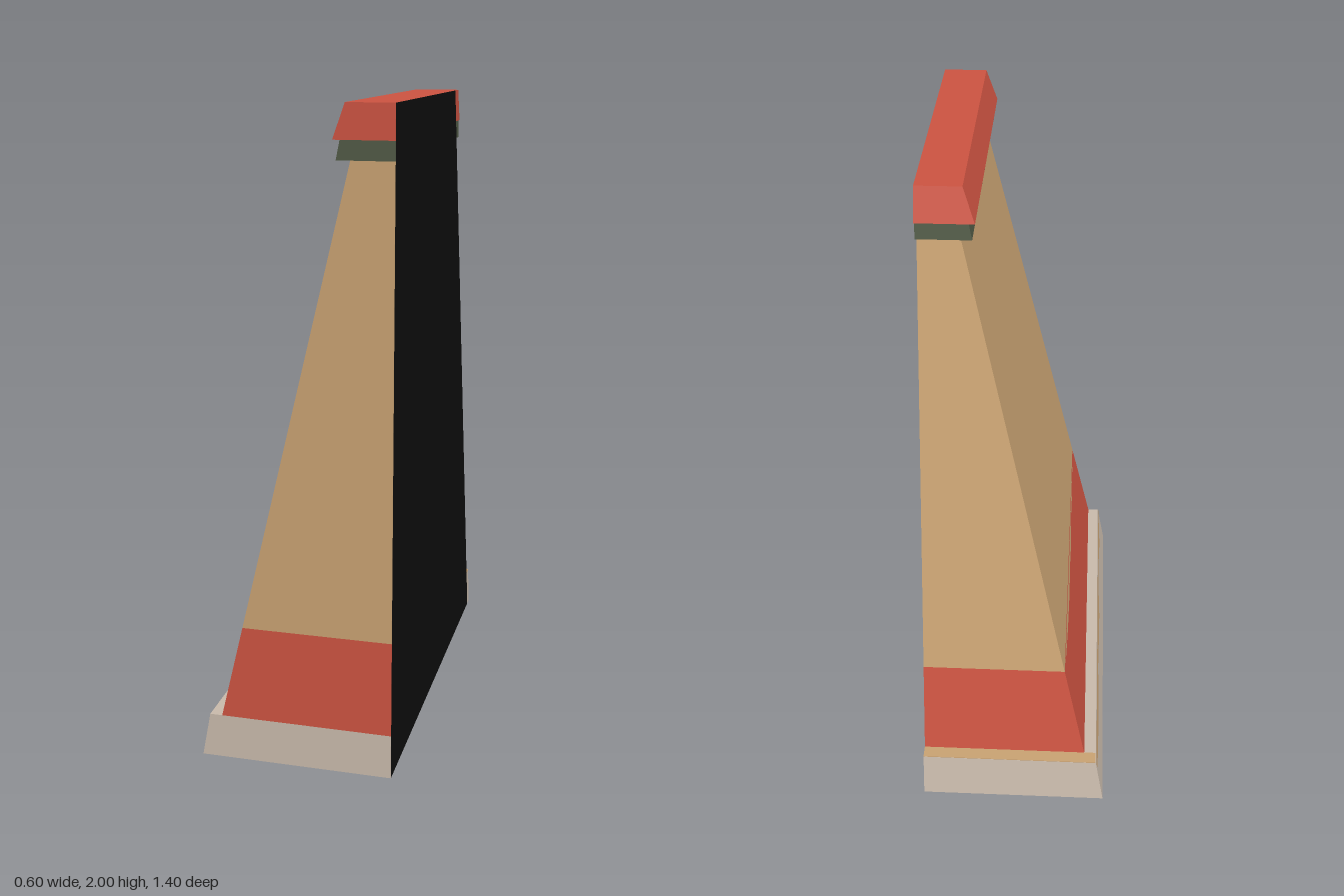
import * as THREE from 'three';

const mat = (name, color) => {
  const m = new THREE.MeshStandardMaterial({ color });
  m.name = name;
  return m;
};

const RIGHT = 0.3, FRONT = 0.7;
// Both battered faces lean inward at the same rate
const wallX = y => -0.268 + 0.24 * y;
const wallZ = y => -0.664 + 0.24 * y;
const baseX = y => -0.3 + 0.19 * y;

export function createModel() {
  const tan = mat('tan plaster', 0xc9a272);
  const red = mat('red paint', 0xcc5341);
  const stone = mat('pale stone', 0xc9baab);
  const green = mat('dark green trim', 0x505945);
  const black = mat('black cut face', 0x0d0d0d);
  const group = new THREE.Group();

  const add = (name, geometry, material) => {
    const mesh = new THREE.Mesh(geometry, material);
    mesh.name = name;
    group.add(mesh);
  };

  // Block flush at the front and right, battered at the left and back
  const course = (name, material, y0, y1, x0, x1, z0, z1) => {
    const g = new THREE.BoxGeometry(1, 1, 1).toNonIndexed();
    const p = g.attributes.position;
    for (let i = 0; i < p.count; i++) {
      const top = p.getY(i) > 0;
      p.setXYZ(i,
        p.getX(i) > 0 ? RIGHT : (top ? x1 : x0),
        top ? y1 : y0,
        p.getZ(i) > 0 ? FRONT : (top ? z1 : z0));
    }
    g.computeVertexNormals();
    add(name, g, material);
  };
  const wall = (name, material, y0, y1) =>
    course(name, material, y0, y1, wallX(y0), wallX(y1), wallZ(y0), wallZ(y1));

  course('basePlinth', stone, 0, 0.14, baseX(0), baseX(0.14), -0.7, -0.673);
  wall('paintedBand', red, 0.14, 0.44);
  wall('wall', tan, 0.44, 1.845);
  course('trim', green, 1.845, 1.9, 0.134, 0.145, -0.268, -0.257);
  course('cap', red, 1.9, 2, 0.124, 0.16, -0.278, -0.243);

  // Thin face drawn in (z, y) and laid onto a sloping left side
  const sidePaint = (name, points, xAt) => {
    const shape = new THREE.Shape(points.map(([z, y]) => new THREE.Vector2(z, y)));
    const g = new THREE.ShapeGeometry(shape);
    const p = g.attributes.position;
    for (let i = 0; i < p.count; i++) {
      const z = p.getX(i), y = p.getY(i);
      p.setXYZ(i, xAt(y) - 0.002, y, z);
    }
    g.computeVertexNormals();
    add(name, g, tan);
  };

  // Uneven paint edge on the wall, and weathering along the plinth
  sidePaint('unevenBandEdge', [
    [-0.54, 0.441], [-0.35, 0.425], [-0.15, 0.418], [0, 0.424], [0.1, 0.42],
    [0.25, 0.434], [0.4, 0.43], [0.6, 0.441],
  ], wallX);
  sidePaint('plinthWeathering', [
    [-0.675, 0.14], [-0.675, 0.118], [-0.5, 0.105], [-0.36, 0.1], [-0.2, 0.118],
    [-0.05, 0.105], [0.1, 0.098], [0.22, 0.118], [0.4, 0.12], [0.52, 0.105],
    [0.65, 0.128], [0.7, 0.14],
  ], baseX);

  // Tan ledge on top of the back of the plinth
  const ledge = new THREE.BoxGeometry(0.572, 0.004, 0.043);
  ledge.translate(0.014, 0.14, -0.651);
  add('backLedge', ledge, tan);

  // Black cut side and underside
  const side = new THREE.Shape([
    new THREE.Vector2(-FRONT, 0), new THREE.Vector2(-wallZ(0), 0),
    new THREE.Vector2(-wallZ(2), 2), new THREE.Vector2(-FRONT, 2),
  ]);
  const sideFace = new THREE.ShapeGeometry(side);
  sideFace.rotateY(Math.PI / 2);
  sideFace.translate(RIGHT + 0.001, 0, 0);
  add('cutSide', sideFace, black);

  const bottom = new THREE.PlaneGeometry(0.6, 1.4);
  bottom.rotateX(Math.PI / 2);
  bottom.translate(0, -0.001, 0);
  add('underside', bottom, black);

  return group;
}
